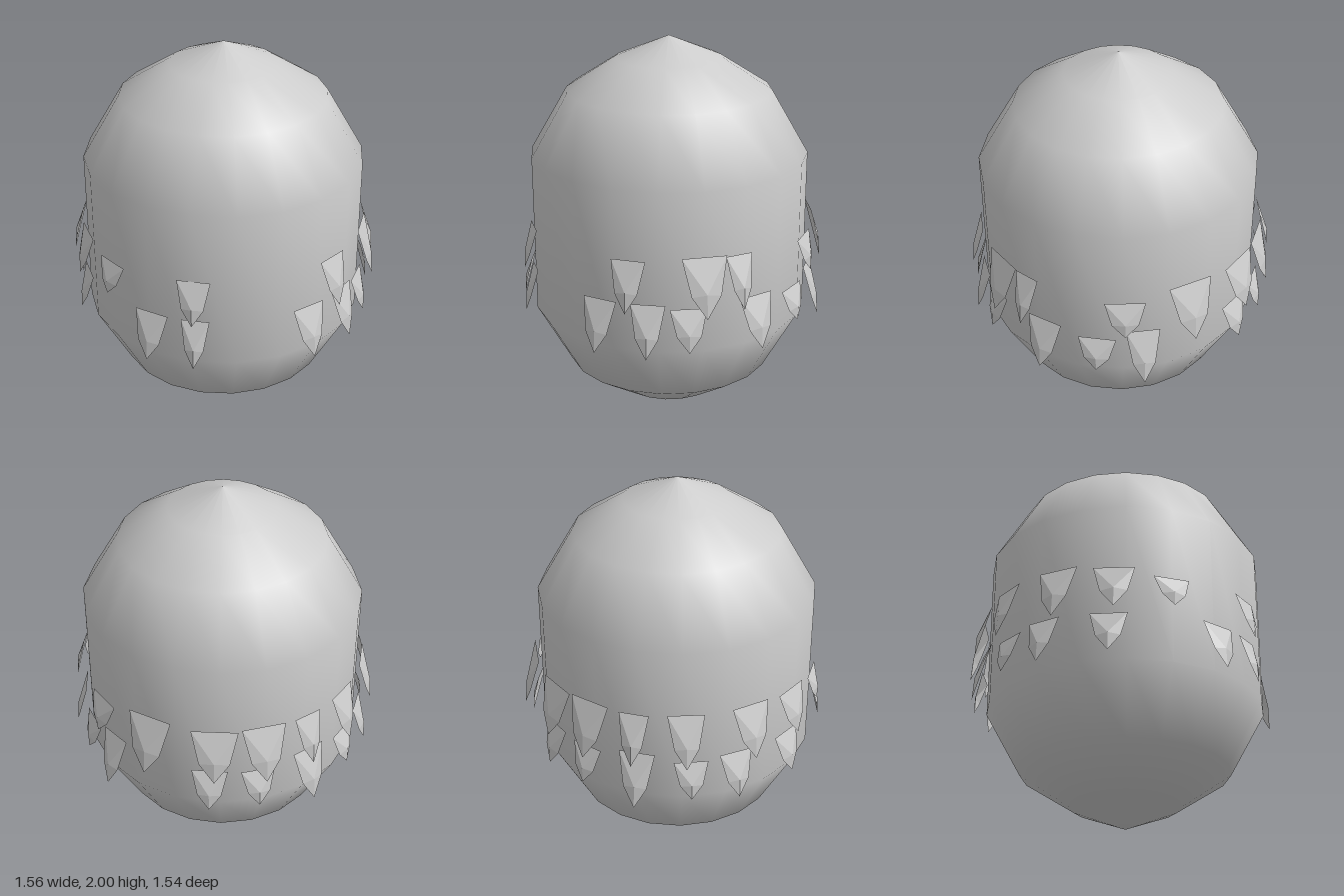
import * as THREE from 'three';

const grey = { color: 0xcccccc };

// Smooth capsule-like body with coarse domed ends
function makeBody() {
  const profile = [
    [0, 0], [0.27, 0.11], [0.53, 0.28], [0.707, 0.6],
    [0.707, 1.41], [0.52, 1.73], [0.27, 1.89], [0, 2],
  ].map(([r, y]) => new THREE.Vector2(r, y));
  const body = new THREE.Mesh(
    new THREE.LatheGeometry(profile, 20),
    new THREE.MeshStandardMaterial(grey)
  );
  body.name = 'body';
  body.position.z = 0.01;
  return body;
}

// Shield-shaped scale: straight top edge, tapering sides, pointed tip, raised middle.
// Local origin is the centre of the top edge, +z points away from the body.
function makeScale(width, height, material) {
  const w = width / 2, flare = 0.25 * height;
  const outline = [
    [-w, 0, 0],
    [-w * 0.66, -height * 0.62, flare * 0.66],
    [0, -height, flare],
    [w * 0.66, -height * 0.62, flare * 0.66],
    [w, 0, 0],
  ];
  const middle = [0, -height * 0.58, flare * 0.62 + 0.018];
  const positions = [];
  outline.forEach((p, i) => {
    positions.push(...p, ...outline[(i + 1) % outline.length], ...middle);
  });
  const geometry = new THREE.BufferGeometry();
  geometry.setAttribute('position', new THREE.Float32BufferAttribute(positions, 3));
  geometry.computeVertexNormals();
  return new THREE.Mesh(geometry, material);
}

// A ring of scales; each entry is [angle from front, width, top y, tip y]
function makeRow(name, entries, material) {
  const row = new THREE.Group();
  row.name = name;
  entries.forEach(([degrees, width, top, tip], i) => {
    const angle = THREE.MathUtils.degToRad(degrees);
    const scale = makeScale(width, top - tip, material);
    scale.name = `${name}Scale${i + 1}`;
    scale.position.set(Math.sin(angle) * 0.72, top, Math.cos(angle) * 0.72);
    scale.rotation.y = angle;
    row.add(scale);
  });
  return row;
}

const UPPER = [
  [-16.5, 0.165, 1.06, 0.84], [42, 0.17, 1.07, 0.82], [71, 0.22, 1.09, 0.80],
  [85, 0.14, 1.08, 0.82], [126, 0.20, 1.04, 0.86], [152, 0.23, 1.10, 0.80],
  [178, 0.23, 1.08, 0.81], [-163, 0.22, 1.09, 0.80], [-144, 0.15, 1.08, 0.82],
  [-124, 0.18, 1.09, 0.82], [-98, 0.20, 1.09, 0.82], [-76, 0.20, 1.07, 0.84],
  [-54, 0.18, 1.03, 0.87],
];

const LOWER = [
  [-34, 0.18, 0.84, 0.60], [-16, 0.14, 0.84, 0.60], [30, 0.18, 0.85, 0.59],
  [49.5, 0.17, 0.85, 0.59], [65, 0.18, 0.83, 0.62], [93, 0.19, 0.85, 0.59],
  [115, 0.19, 0.81, 0.64], [133, 0.17, 0.86, 0.58], [176, 0.18, 0.83, 0.62],
  [-165, 0.17, 0.82, 0.63], [-143, 0.18, 0.86, 0.58], [-122, 0.17, 0.82, 0.63],
  [-104, 0.17, 0.84, 0.61], [-78, 0.18, 0.83, 0.62],
];

export function createModel() {
  const model = new THREE.Group();
  model.name = 'scaledCapsule';
  const scaleMaterial = new THREE.MeshStandardMaterial({
    ...grey, flatShading: true, side: THREE.DoubleSide,
  });
  model.add(
    makeBody(),
    makeRow('upperRow', UPPER, scaleMaterial),
    makeRow('lowerRow', LOWER, scaleMaterial)
  );
  return model;
}
